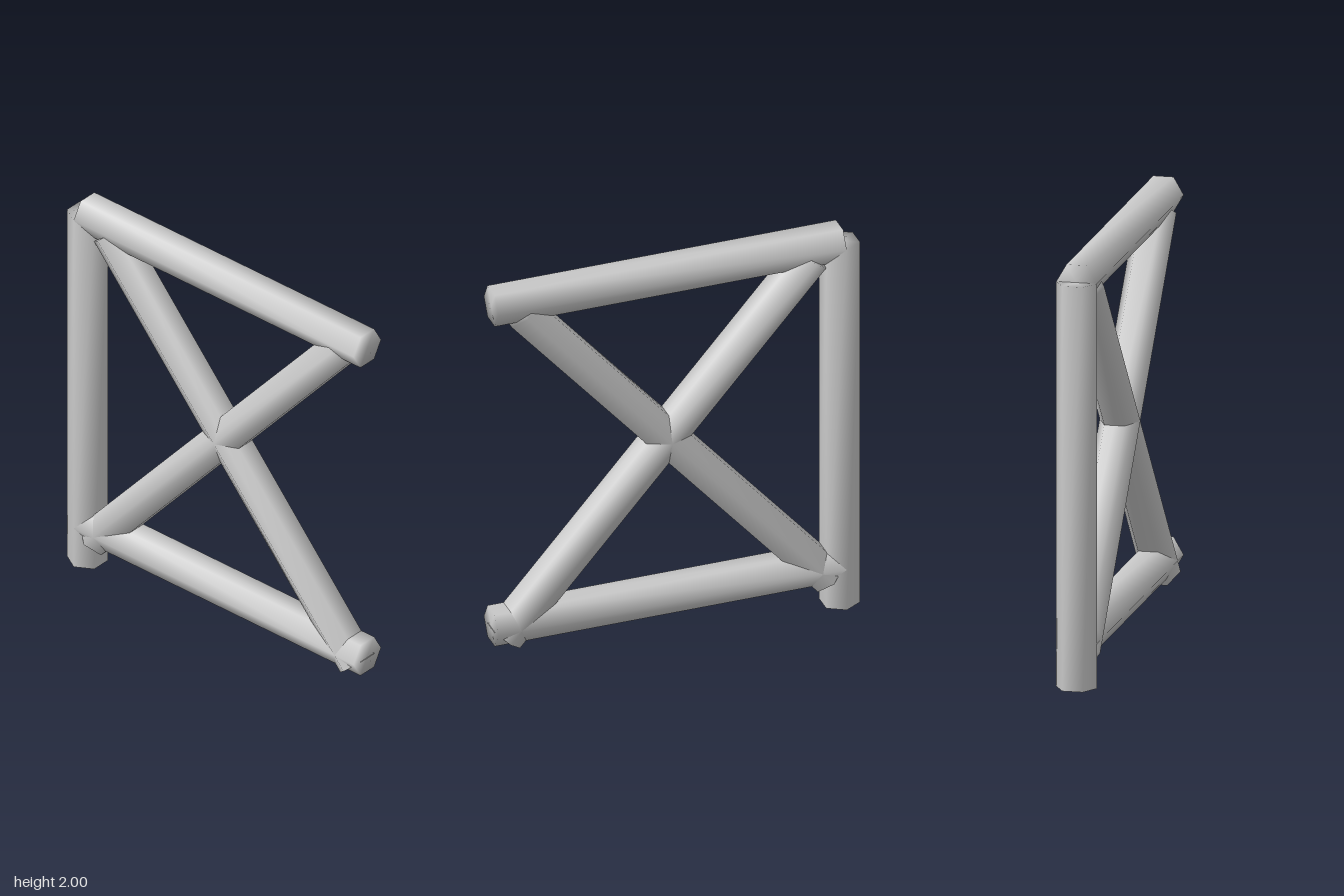
import * as THREE from 'three';
import { mergeVertices } from 'three/addons/utils/BufferGeometryUtils.js';

const RADIUS = 0.096;

export function createModel() {
  const group = new THREE.Group();
  const material = new THREE.MeshStandardMaterial({ color: 0xcccccc });

  // Six-sided bar between two points in the z = 0 plane, with a ridge along front and back
  function addBar(name, x1, y1, x2, y2) {
    const length = Math.hypot(x2 - x1, y2 - y1);
    let geometry = new THREE.CylinderGeometry(RADIUS, RADIUS, length, 6);
    // Weld sides and caps so the shading runs smoothly over the edges
    geometry.deleteAttribute('uv');
    geometry.deleteAttribute('normal');
    geometry = mergeVertices(geometry);
    geometry.computeVertexNormals();
    const bar = new THREE.Mesh(geometry, material);
    bar.name = name;
    bar.position.set((x1 + x2) / 2, (y1 + y2) / 2, 0);
    bar.rotation.z = Math.atan2(y2 - y1, x2 - x1) - Math.PI / 2;
    group.add(bar);
  }

  // Upright post and the two rails that start on its axis
  addBar('post', -0.813, 0, -0.813, 1.917);
  addBar('topRail', -0.813, 1.917, 0.893, 1.917);
  addBar('bottomRail', -0.813, 0.213, 0.893, 0.213);

  // Crossed braces, mirrored about the middle of the rails
  for (const side of [1, -1]) {
    addBar(side > 0 ? 'risingBrace' : 'fallingBrace',
      0.04 - side * 0.792, 0.15, 0.04 + side * 0.708, 1.868);
  }
  return group;
}
